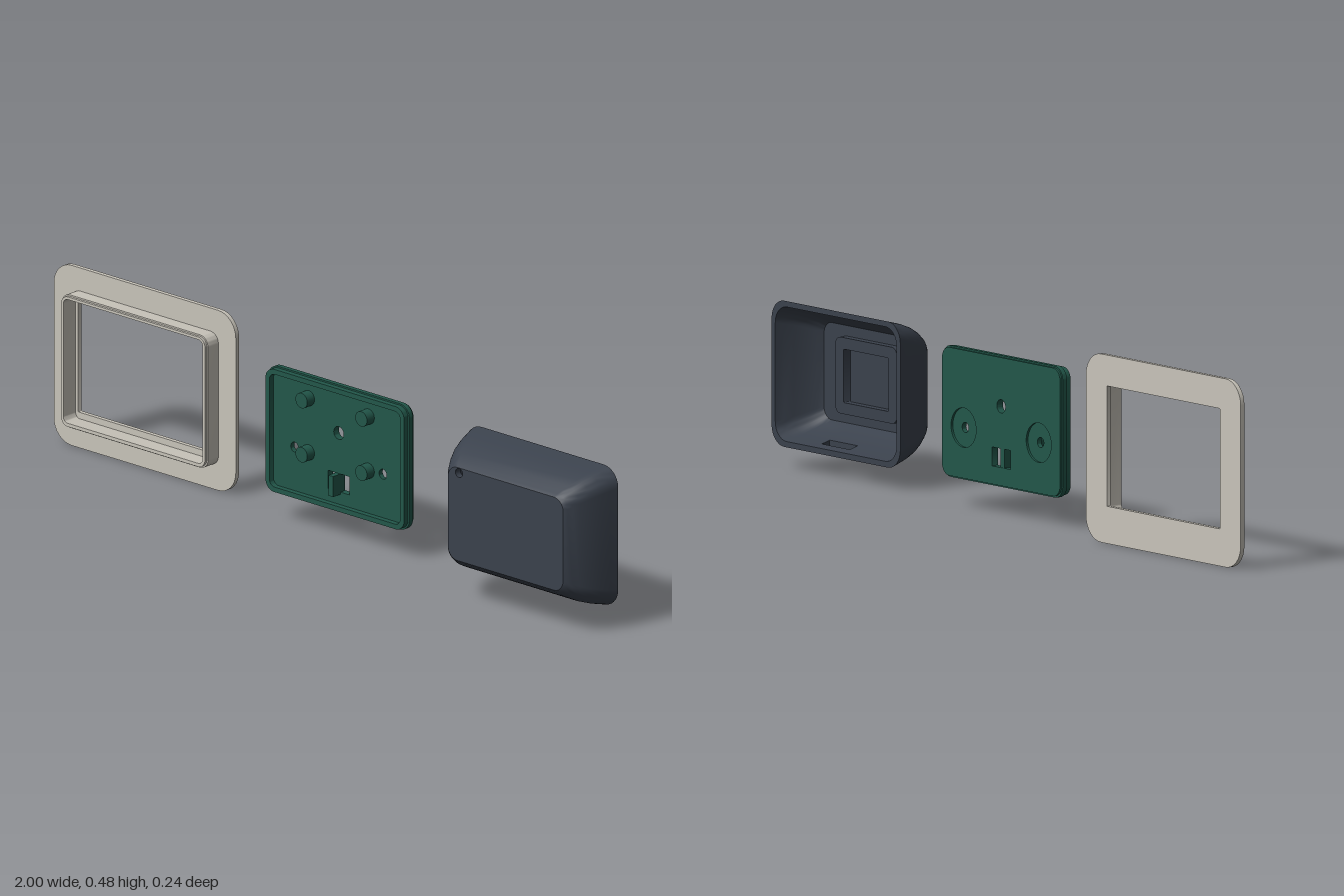
import * as THREE from 'three';
import { toCreasedNormals } from 'three/addons/utils/BufferGeometryUtils.js';

const mat = (color) => new THREE.MeshStandardMaterial({ color, side: THREE.DoubleSide });

// Outline points of a rounded rectangle, anticlockwise from the lower left corner
function outline(x0, y0, x1, y1, r, extra = [], n = 8) {
  const pts = [];
  const corners = [[x0 + r, y0 + r], [x1 - r, y0 + r], [x1 - r, y1 - r], [x0 + r, y1 - r]];
  corners.forEach(([cx, cy], i) => {
    for (let k = 0; k <= n; k++) {
      const a = Math.PI + (i + k / n) * Math.PI / 2;
      pts.push(new THREE.Vector2(cx + r * Math.cos(a), cy + r * Math.sin(a)));
    }
    if (i === 0) extra.forEach((x) => pts.push(new THREE.Vector2(x, y0)));
  });
  return pts;
}

function round(x, y, r) {
  return new THREE.Path().absarc(x, y, r, 0, Math.PI * 2, true);
}

// Flat layer with holes between two depths
function slab(points, holes, z0, z1) {
  const shape = new THREE.Shape(points);
  shape.holes.push(...holes);
  const g = new THREE.ExtrudeGeometry(shape, { depth: z1 - z0, bevelEnabled: false, curveSegments: 24 });
  return toCreasedNormals(g.translate(0, 0, z0), 0.5);
}

function add(group, name, geometry, material) {
  const mesh = new THREE.Mesh(geometry, material);
  mesh.name = name;
  group.add(mesh);
  return mesh;
}

// Wall frame: thin flange with a stepped collar
function wallFrame() {
  const g = new THREE.Group(), m = mat(0xc8c4ba);
  g.name = 'wallFrame';
  const opening = new THREE.Path(outline(-0.917, 0.094, -0.466, 0.398, 0.002));
  const inner = new THREE.Path(outline(-0.926, 0.077, -0.453, 0.404, 0.015));
  add(g, 'flange', slab(outline(-1, 0, -0.382, 0.476, 0.06), [opening], -0.118, -0.106), m);
  add(g, 'collar', slab(outline(-0.938, 0.064, -0.441, 0.415, 0.027), [inner], -0.106, -0.068), m);
  add(g, 'collarLip', slab(outline(-0.934, 0.068, -0.445, 0.411, 0.023), [inner], -0.068, -0.061), m);
  return g;
}

// Mounting tray with rim, posts, screw holes and a latch
function mountingTray() {
  const g = new THREE.Group(), m = mat(0x22574a);
  g.name = 'mountingTray';
  const out = (i) => outline(-0.215 + i, 0.074 + i, 0.264 - i, 0.406 - i, 0.032 - i * 0.8);
  const slot = new THREE.Path(outline(-0.013, 0.124, 0.06, 0.172, 0.001));
  const holes = (r) => [slot, round(0.024, 0.279, 0.017), round(-0.126, 0.206, r), round(0.174, 0.206, r)];
  add(g, 'backLayer', slab(out(0.004), holes(0.05), -0.064, -0.058), m);
  add(g, 'floor', slab(out(0), holes(0.013), -0.058, -0.045), m);
  add(g, 'rim', slab(out(0.004), [new THREE.Path(out(0.017))], -0.045, -0.03), m);
  for (const x of [-0.078, 0.125]) for (const y of [0.347, 0.204]) {
    const post = new THREE.CylinderGeometry(0.02, 0.02, 0.03, 28).rotateX(Math.PI / 2);
    add(g, 'post', post.translate(x, y, -0.033), m);
  }
  add(g, 'latch', new THREE.BoxGeometry(0.016, 0.054, 0.044).translate(0.0215, 0.145, -0.04), m);
  return g;
}

// Domed hollow cover, lofted in rings of shrinking rounded rectangles
function cover() {
  const g = new THREE.Group(), m = mat(0x3a414c);
  g.name = 'cover';
  const slotX = [0.714, 0.826], slotCell = 8 + 1, slotRow = 1;
  const profile = [[-0.018, 0], [0.005, 0.006], [0.03, 0.013], [0.06, 0.024], [0.085, 0.037],
    [0.1, 0.047], [0.11, 0.054], [0.116, 0.0595], [0.118, 0.0615]];
  const ring = (i) => outline(0.484 + i, 0.055 + i, 0.998 - i, 0.424 - i, 0.05 - i * 0.3, slotX);
  const at = (i, z) => ring(i).map((p) => [p.x, p.y, z]);
  const outer = profile.map(([z, i]) => at(i, z));
  const inner = profile.slice(0, 6).map(([z, i]) => at(i + 0.0145, z));
  const pos = [];
  const quad = (a, b, c, d) => pos.push(...a, ...b, ...c, ...a, ...c, ...d);
  const n = outer[0].length;
  const loft = (rings, flip) => {
    for (let j = 0; j < rings.length - 1; j++) for (let k = 0; k < n; k++) {
      if (j === slotRow && k === slotCell) continue;
      const l = (k + 1) % n, A = rings[j], B = rings[j + 1];
      if (flip) quad(A[k], B[k], B[l], A[l]);
      else quad(A[k], A[l], B[l], B[k]);
    }
  };
  loft(outer, false);
  loft(inner, true);
  // back edge of the wall
  for (let k = 0; k < n; k++) {
    const l = (k + 1) % n;
    quad(outer[0][k], inner[0][k], inner[0][l], outer[0][l]);
  }
  // sides of the slot through the lower wall
  const s = slotCell, e = s + 1, r = slotRow, t = r + 1;
  const loop = [[r, s], [r, e], [t, e], [t, s]];
  loop.forEach(([j, k], i) => {
    const [j2, k2] = loop[(i + 1) % 4];
    quad(outer[j][k], inner[j][k], inner[j2][k2], outer[j2][k2]);
  });
  const geo = new THREE.BufferGeometry();
  geo.setAttribute('position', new THREE.Float32BufferAttribute(pos, 3));
  add(g, 'shell', toCreasedNormals(geo, 0.6), m);

  // front panel faces, pierced by a small round hole
  const hx = 0.583, hy = 0.349, hr = 0.012;
  const panel = (inset, z) => {
    const shape = new THREE.Shape(ring(inset));
    shape.holes.push(round(hx, hy, hr));
    return new THREE.ShapeGeometry(shape, 24).translate(0, 0, z);
  };
  add(g, 'frontPanel', panel(0.0615, 0.118), m);
  add(g, 'innerPanel', panel(0.0615, 0.1), m);
  const bore = new THREE.CylinderGeometry(hr, hr, 0.018, 24, 1, true).rotateX(Math.PI / 2);
  add(g, 'frontHole', bore.translate(hx, hy, 0.109), m);

  // raised holder inside the cover
  const pocket = new THREE.Path(outline(0.651, 0.172, 0.831, 0.307, 0.004));
  add(g, 'innerHolder', slab(outline(0.618, 0.143, 0.864, 0.336, 0.02), [pocket], 0.078, 0.101), m);
  return g;
}

export function createModel() {
  const model = new THREE.Group();
  model.name = 'wallUnit';
  model.add(wallFrame(), mountingTray(), cover());
  return model;
}
